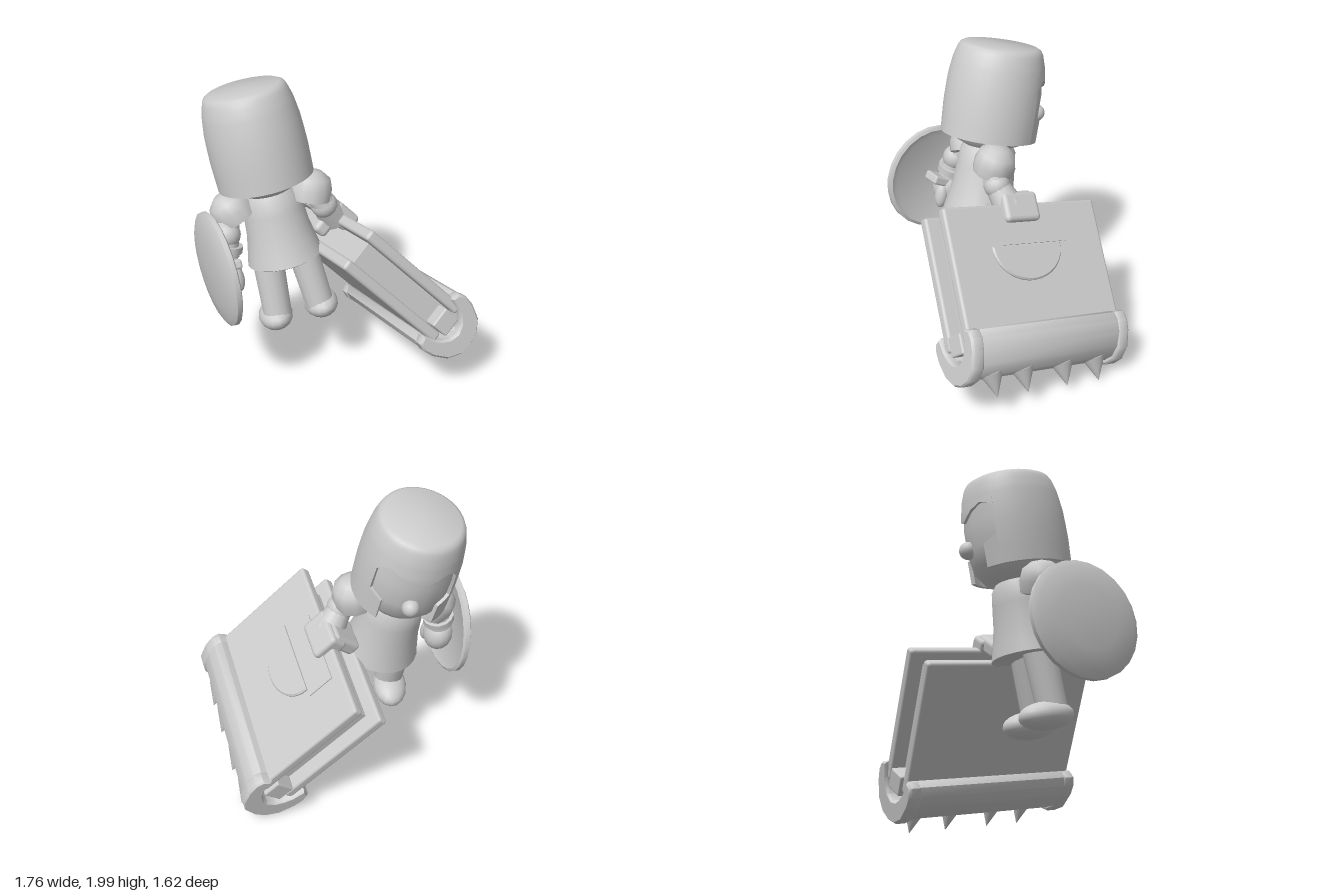
import * as THREE from 'three';
import { toCreasedNormals } from 'three/addons/utils/BufferGeometryUtils.js';
import { RoundedBoxGeometry } from 'three/addons/geometries/RoundedBoxGeometry.js';

const grey = new THREE.MeshStandardMaterial({ color: 0xcccccc, side: THREE.DoubleSide });
grey.name = 'plain grey';
const V = (x, y, z) => new THREE.Vector3(x, y, z);

function add(parent, name, geometry, pos = [0, 0, 0], scale = [1, 1, 1]) {
  const m = new THREE.Mesh(geometry, grey);
  m.name = name;
  m.position.set(...pos);
  m.scale.set(...scale);
  parent.add(m);
  return m;
}
const ball = (r) => new THREE.SphereGeometry(r, 16, 12);
const lathe = (pts, n = 24) =>
  toCreasedNormals(new THREE.LatheGeometry(pts.map(([r, y]) => new THREE.Vector2(r, y)), n), 0.8);

// Tapered cylinder running from a to b
function limb(parent, name, a, b, ra, rb) {
  const A = V(...a), d = V(...b).sub(A);
  const m = add(parent, name, new THREE.CylinderGeometry(rb, ra, d.length(), 14));
  m.position.copy(A).addScaledVector(d, 0.5);
  m.quaternion.setFromUnitVectors(V(0, 1, 0), d.normalize());
  return m;
}

// Helmet radius at a given height
const HELMET = [[1, 0.312], [1.2, 0.318], [1.38, 0.31], [1.48, 0.293], [1.55, 0.272], [1.575, 0.258], [1.587, 0.235], [1.592, 0]];
function helmetRadius(h) {
  for (let i = 1; i < HELMET.length; i++) {
    const [h0, r0] = HELMET[i - 1], [h1, r1] = HELMET[i];
    if (h <= h1) return r0 + (r1 - r0) * (h - h0) / (h1 - h0);
  }
  return 0;
}

// Thick helmet wall made from columns [degrees from face, bottom, top, thickness]
function helmetShell(cols, crown) {
  const pos = [], idx = [];
  let n = 0;
  for (const [deg, b, t, thick] of cols) {
    const a = THREE.MathUtils.degToRad(deg), col = [];
    for (let k = 0; k <= 5; k++) {
      const h = b + (t - b) * k / 5;
      col.push([helmetRadius(h), h]);
    }
    const inner = col.map(([r, h]) => [r - thick, h]).reverse();
    if (crown) for (const h of [1.48, 1.52, 1.55, 1.575, 1.587, 1.592]) col.push([helmetRadius(h), h]);
    col.push(...inner);
    n = col.length;
    for (const [r, h] of col) pos.push(Math.sin(a) * r, h, -Math.cos(a) * r);
  }
  for (let i = 0; i < cols.length - 1; i++) for (let j = 0; j < n; j++) {
    const p = i * n + j, q = i * n + (j + 1) % n;
    idx.push(p, q, p + n, q, q + n, p + n);
  }
  const g = new THREE.BufferGeometry();
  g.setAttribute('position', new THREE.Float32BufferAttribute(pos, 3));
  g.setIndex(idx);
  return toCreasedNormals(g, 0.9);
}

function buildHead() {
  const head = new THREE.Group();
  head.name = 'head';
  head.scale.set(0.96, 1, 1.01); // slightly narrower than deep
  const half = [[0, 1.33], [10, 1.35], [20, 1.38], [34, 1.405], [44, 1.39], [51, 1.345], [51, 1]];
  for (let d = 60; d <= 180; d += 10) half.push([d, 1]);
  const left = half.slice(1).reverse().map(([d, b]) => [-d, b]);
  add(head, 'helmet', helmetShell([...left, ...half].map(([d, b]) => [d, b, 1.45, 0.025]), true));
  // Cheek guards beside the face opening
  const guard = [[34, 1, 1.145, 0], [34, 1, 1.145, 0.025], [42, 1, 1.165, 0.025], [51, 1, 1.185, 0.025]];
  add(head, 'cheekGuardRight', helmetShell(guard));
  add(head, 'cheekGuardLeft', helmetShell(guard.map(([d, ...r]) => [-d, ...r]).reverse()));
  add(head, 'face', lathe([[0, 0.9], [0.12, 0.915], [0.22, 0.965], [0.275, 1.04], [0.298, 1.15], [0.3, 1.3], [0.28, 1.46]]));
  add(head, 'nose', ball(0.055), [0, 1.16, -0.305]);
  return head;
}

function buildKnight() {
  const k = new THREE.Group();
  k.name = 'knight';
  k.position.set(-0.26, 0.4, -0.14);
  k.rotation.set(-0.27, -0.7, 0); // leans forward, turned aside
  k.add(buildHead());
  add(k, 'neck', new THREE.CylinderGeometry(0.13, 0.11, 0.14, 16), [0, 0.98, 0]);
  // Tunic, flaring to an open hem
  add(k, 'tunic', lathe([[0, 0.5], [0.22, 0.47], [0.24, 0.48], [0.225, 0.55], [0.2, 0.68], [0.19, 0.8],
    [0.18, 0.9], [0.15, 0.95], [0, 0.97]]), [0, 0, -0.01]);
  for (const s of [-1, 1]) {
    const side = s < 0 ? 'Left' : 'Right';
    limb(k, 'leg' + side, [s * 0.14, 0.1, 0.02], [s * 0.11, 0.52, 0], 0.09, 0.1);
    add(k, 'shoe' + side, ball(1), [s * 0.15, 0.1, -0.03], [0.11, 0.085, 0.17]);
    // Shoulder armour
    const pad = add(k, 'shoulderPad' + side, lathe([[0.1, -0.1], [0.13, -0.09], [0.135, -0.02], [0.115, 0.05],
      [0.06, 0.09], [0, 0.1]], 12), [s * 0.26, 0.9, 0.03]);
    pad.rotation.z = -s * 0.35;
    limb(k, 'collarStrap' + side, [s * 0.12, 0.92, 0], [s * 0.25, 0.9, 0.02], 0.07, 0.09);
  }
  // Weapon arm
  limb(k, 'upperArmRight', [0.27, 0.88, 0.03], [0.31, 0.75, 0.03], 0.08, 0.075);
  add(k, 'elbowRight', ball(0.085), [0.31, 0.75, 0.02]);
  limb(k, 'forearmRight', [0.31, 0.75, 0.02], [0.36, 0.63, -0.06], 0.075, 0.1);
  // Shield arm
  limb(k, 'upperArmLeft', [-0.27, 0.9, 0.03], [-0.32, 0.75, 0.09], 0.08, 0.075);
  add(k, 'elbowLeft', ball(0.085), [-0.32, 0.75, 0.09]);
  limb(k, 'forearmLeft', [-0.32, 0.75, 0.09], [-0.36, 0.62, 0.09], 0.07, 0.085);
  limb(k, 'cuffLeft', [-0.335, 0.69, 0.09], [-0.35, 0.65, 0.09], 0.1, 0.1);
  add(k, 'handLeft', ball(1), [-0.38, 0.53, 0.09], [0.095, 0.12, 0.11]);
  add(k, 'thumbLeft', ball(1), [-0.33, 0.48, 0.15], [0.045, 0.09, 0.045]);
  return k;
}

function buildShield() {
  const s = new THREE.Group();
  s.name = 'shield';
  s.position.set(-0.715, 0.925, -0.435);
  s.quaternion.setFromUnitVectors(V(0, 1, 0), V(-0.89, -0.06, -0.45).normalize());
  add(s, 'shieldDisc', lathe([[0, -0.01], [0.3, -0.025], [0.34, -0.04], [0.36, -0.03], [0.36, 0.0],
    [0.32, 0.02], [0.2, 0.04], [0, 0.05]], 24));
  // Grip behind the disc
  add(s, 'shieldGrip', new RoundedBoxGeometry(0.06, 0.14, 0.16, 2, 0.015), [0, -0.08, 0]);
  return s;
}

function buildBook() {
  const book = new THREE.Group();
  book.name = 'bookWeapon';
  // Local x runs to the spine, y along the spine, z through the thickness
  const u = V(0.51, -0.726, 0.46).normalize();
  const n = u.clone().cross(V(0.448, -0.241, -0.861)).normalize();
  const v = n.clone().cross(u);
  book.quaternion.setFromRotationMatrix(new THREE.Matrix4().makeBasis(u, v, n));
  book.position.set(0.214, 0.701, -0.025);
  add(book, 'coverFront', new RoundedBoxGeometry(0.85, 1.16, 0.07, 2, 0.02), [0.035, 0, 0.1]);
  add(book, 'coverBack', new RoundedBoxGeometry(0.85, 1.16, 0.07, 2, 0.02), [0.035, 0, -0.122]);
  add(book, 'pages', new THREE.BoxGeometry(0.81, 0.98, 0.17), [0.1, 0, -0.01]);

  // Spine: a thick rounded channel around the bound edge, flared at both ends
  const inner = [[0.56, 0], [0.54, 0.06], [0.5, 0.1], [0.45, 0.13]];
  const flip = (a) => a.map(([x, y]) => [x, -y]).reverse();
  function channel(name, top, length, y) {
    const loop = [...top, ...flip(top).slice(1), ...flip(inner), ...inner.slice(1)];
    const shape = new THREE.Shape(loop.map(([a, b]) => new THREE.Vector2(a, b)));
    const g = new THREE.ExtrudeGeometry(shape, { depth: length, bevelThickness: 0.015, bevelSize: 0.012, bevelSegments: 1 });
    g.translate(0, 0, -length / 2).rotateX(Math.PI / 2);
    add(book, name, toCreasedNormals(g, 0.7), [0, y, -0.022]);
  }
  channel('spine', [[0.37, 0.15], [0.385, 0.185], [0.43, 0.2], [0.5, 0.19], [0.585, 0.145], [0.63, 0.08], [0.64, 0]], 1.1, 0);
  for (const e of [-1, 1]) {
    channel('spineEnd', [[0.37, 0.15], [0.385, 0.19], [0.43, 0.205], [0.5, 0.195], [0.6, 0.15], [0.655, 0.08], [0.67, 0]], 0.06, e * 0.555);
    // Square clasp in the mouth of the spine
    add(book, 'spineClasp', new RoundedBoxGeometry(0.13, 0.1, 0.14, 2, 0.012), [0.43, e * 0.54, -0.012]);
  }

  // Spikes along the spine
  for (const y of [0.45, 0.195, -0.11, -0.34])
    limb(book, 'spike', [0.605, y - 0.05, 0.01], [0.77, y, -0.05], 0.083, 0.001);

  // Raised half-round emblem and flat plate on the front cover
  const half = new THREE.Shape();
  half.absellipse(0, 0, 0.21, 0.25, -Math.PI / 2, Math.PI / 2);
  add(book, 'halfRoundEmblem', new THREE.ExtrudeGeometry(half, { depth: 0.015, bevelThickness: 0.01, bevelSize: 0.01, bevelSegments: 1 }),
    [-0.11, -0.03, 0.13]);
  add(book, 'gripPlate', new THREE.BoxGeometry(0.19, 0.5, 0.009), [-0.22, 0.03, 0.138]);
  // Glove clamped over the open edge
  add(book, 'gloveRight', new RoundedBoxGeometry(0.19, 0.26, 0.13, 2, 0.03), [-0.36, -0.025, 0.12]);
  add(book, 'glovePalm', new RoundedBoxGeometry(0.1, 0.22, 0.22, 2, 0.03), [-0.42, -0.02, 0.05]);
  return book;
}

export function createModel() {
  const model = new THREE.Group();
  model.name = 'knightWithBook';
  model.add(buildKnight(), buildShield(), buildBook());
  return model;
}
